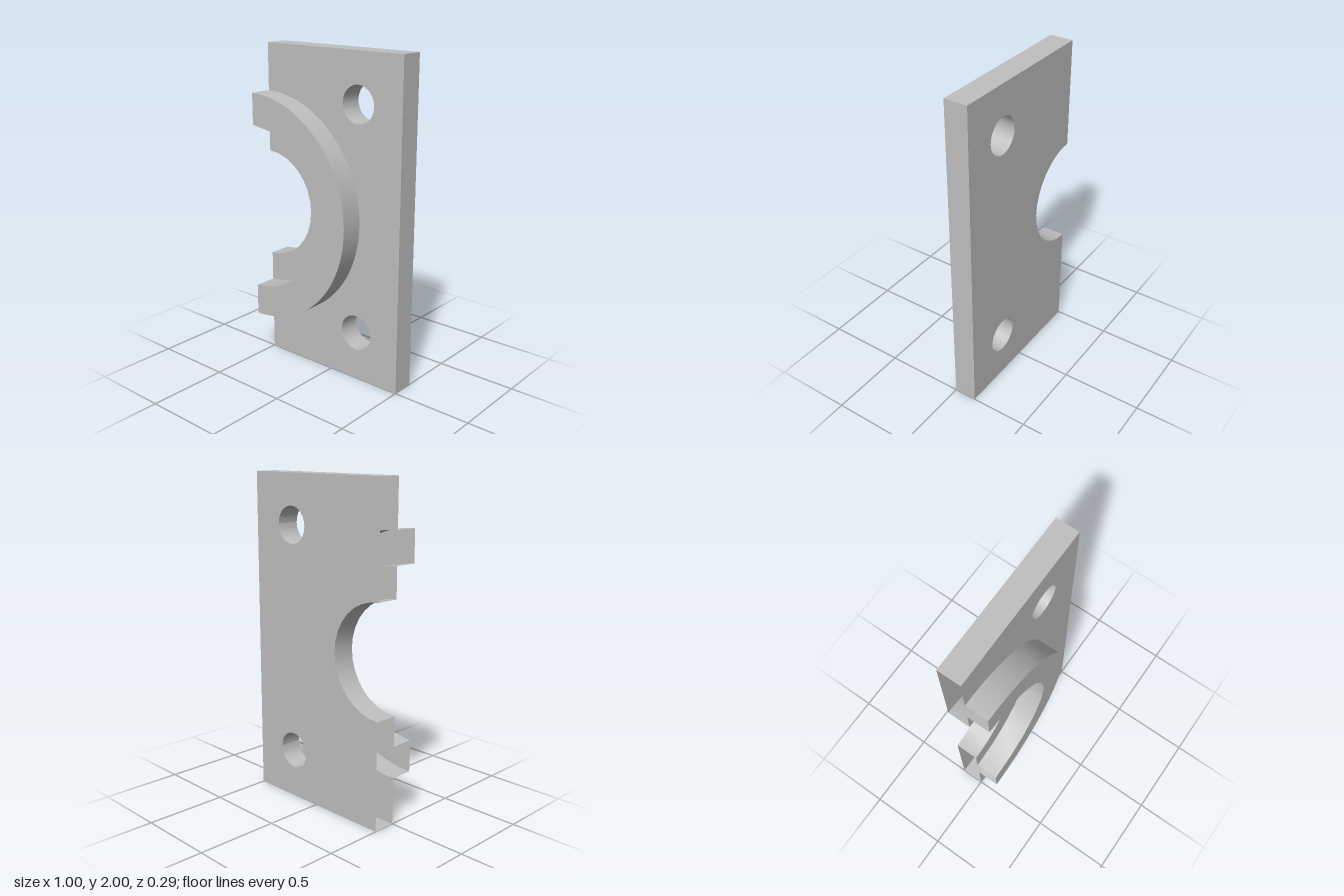
import * as THREE from 'three';

const BACK = -0.143, FACE = 0, RIM = 0.143;
const EDGE = -0.5, MID = 1;

// half circle about the middle of the open edge, from top to bottom
function halfArc(r, n) {
  return Array.from({ length: n + 1 }, (_, i) => {
    const t = (i / n) * Math.PI;
    return new THREE.Vector2(EDGE + r * Math.sin(t), MID + r * Math.cos(t));
  });
}

// full counter-clockwise circle
function circle(cx, cy, r, n) {
  return Array.from({ length: n + 1 }, (_, i) => {
    const t = (i / n) * Math.PI * 2;
    return new THREE.Vector2(cx + r * Math.cos(t), cy + r * Math.sin(t));
  });
}

// flat face at depth z, turned to the back when flip is set
function flatFace(points, holes, z, flip = false) {
  const shape = new THREE.Shape(points);
  holes.forEach(h => shape.holes.push(new THREE.Path(h)));
  const geo = new THREE.ShapeGeometry(shape).translate(0, 0, z);
  if (flip) {
    geo.index.array.reverse();
    geo.computeVertexNormals();
  }
  return geo;
}

// wall swept along z; its outside lies to the left of the path
function wall(points, z0, z1, smooth = true) {
  const pos = [], index = [];
  points.forEach((p, i) => {
    pos.push(p.x, p.y, z0, p.x, p.y, z1);
    if (i < points.length - 1) {
      const a = i * 2;
      index.push(a, a + 1, a + 2, a + 1, a + 3, a + 2);
    }
  });
  let geo = new THREE.BufferGeometry();
  geo.setAttribute('position', new THREE.Float32BufferAttribute(pos, 3));
  geo.setIndex(index);
  if (!smooth) geo = geo.toNonIndexed();
  geo.computeVertexNormals();
  return geo;
}

export function createModel() {
  const group = new THREE.Group();
  const grey = new THREE.MeshStandardMaterial({ color: 0xbfbfbf, side: THREE.DoubleSide });
  grey.name = 'grey';
  const add = (name, geo) => {
    const mesh = new THREE.Mesh(geo, grey);
    mesh.name = name;
    group.add(mesh);
  };

  const bore = halfArc(0.337, 16);
  const rimInner = halfArc(0.52, 10);
  const rimOuter = halfArc(0.713, 48);
  const reversed = pts => [...pts].reverse();
  const holes = [0.304, 1.7].map(y => circle(0.195, y, 0.112, 24));
  const corners = [[-0.5, 0], [0.5, 0], [0.5, 2], [-0.5, 2]].map(c => new THREE.Vector2(...c));

  // hollow plate, open along the cut edge at -x
  add('plateBack', flatFace([...corners, ...bore], holes, BACK, true));
  add('plateFront', flatFace([...corners, ...rimOuter], holes, FACE));
  add('plateInnerLedge', flatFace([...rimInner, ...reversed(bore)], [], FACE));
  add('plateEdges', wall(reversed(corners), BACK, FACE, false));
  add('boreWall', wall(reversed(bore), BACK, FACE));
  holes.forEach((h, i) => add(i ? 'upperBoltHole' : 'lowerBoltHole', wall(h, BACK, FACE)));

  // raised half-round rim, open into the plate
  add('rimFace', flatFace([...rimOuter, ...reversed(rimInner)], [], RIM));
  add('rimOuterWall', wall(rimOuter, FACE, RIM));
  add('rimInnerWall', wall(reversed(rimInner), FACE, RIM));

  return group;
}
